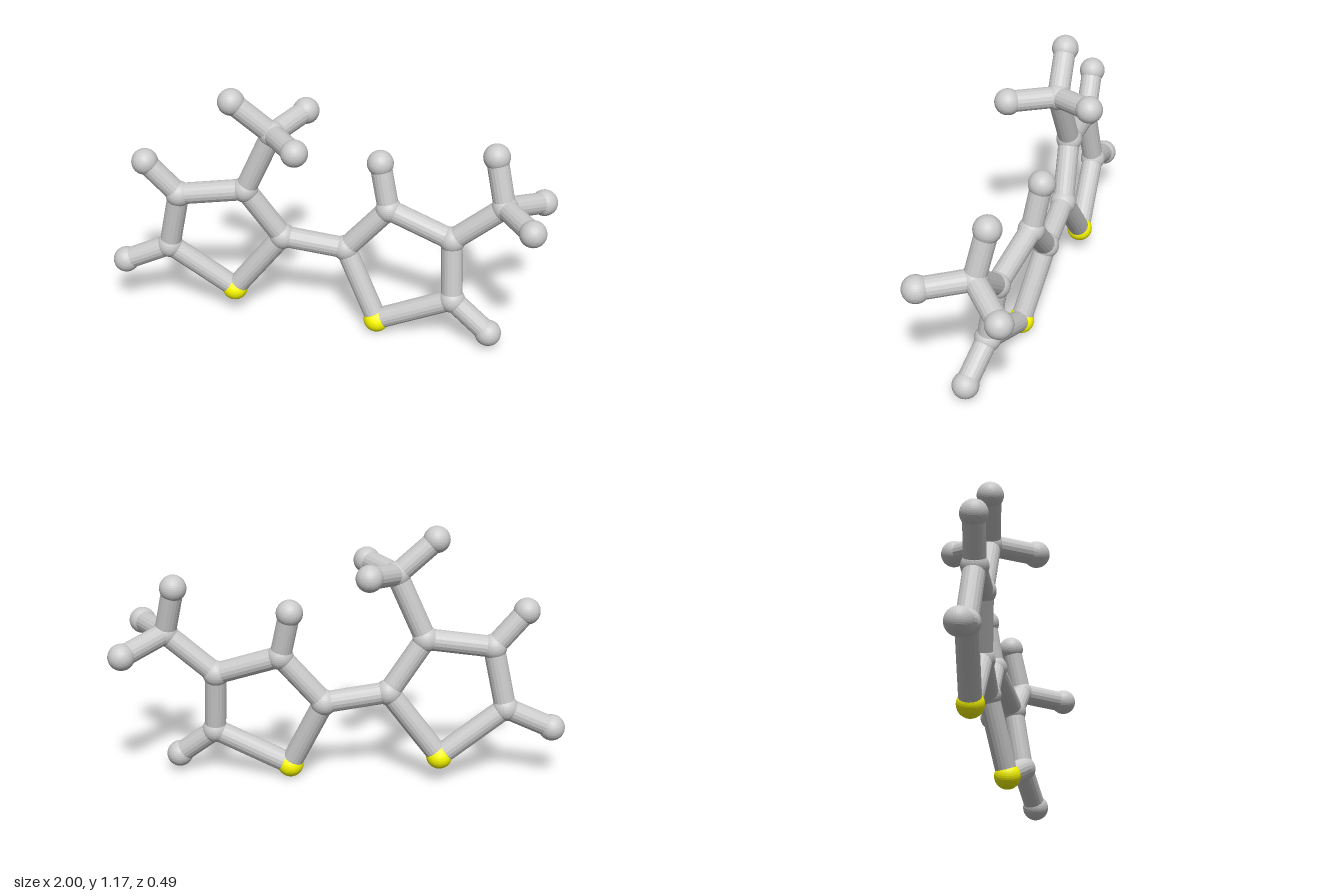
import * as THREE from 'three';

const BALL_RADIUS = 0.059;
const ROD_RADIUS = 0.048;

export function createModel() {
  const model = new THREE.Group();
  model.name = 'ballAndStickMolecule';

  const grey = new THREE.MeshStandardMaterial({ color: 0xcccccc, flatShading: true });
  const yellow = new THREE.MeshStandardMaterial({ color: 0xffff00, flatShading: true });
  const ballGeometry = new THREE.SphereGeometry(BALL_RADIUS, 32, 20);
  const rodGeometry = new THREE.CylinderGeometry(ROD_RADIUS, ROD_RADIUS, 1, 18);
  const up = new THREE.Vector3(0, 1, 0);

  const ball = (parent, name, position, material = grey) => {
    const mesh = new THREE.Mesh(ballGeometry, material);
    mesh.name = name;
    mesh.position.copy(position);
    parent.add(mesh);
  };

  const rod = (parent, name, a, b) => {
    const direction = b.clone().sub(a);
    const mesh = new THREE.Mesh(rodGeometry, grey);
    mesh.name = name;
    mesh.position.copy(a).lerp(b, 0.5);
    mesh.scale.y = direction.length();
    mesh.quaternion.setFromUnitVectors(up, direction.normalize());
    parent.add(mesh);
  };

  // Ring corners run: sulfur, linked carbon, then round to the last carbon.
  // Each branch starts at a ring corner; a methyl branch carries three more tips.
  const units = [
    {
      name: 'rightRing',
      ring: [[-0.44, 0.13, -0.045], [-0.21, 0.43, -0.04], [-0.37, 0.67, -0.01], [-0.67, 0.63, 0.01], [-0.73, 0.35, -0.01]],
      hydrogens: [[3, [-0.81, 0.79, 0.03]], [4, [-0.94, 0.255, 0]]],
      methyl: {
        corner: 2, center: [-0.24, 0.96, 0],
        tips: [[-0.41, 1.11, 0.028], [-0.125, 0.995, -0.183], [-0.107, 0.97, 0.185]],
      },
    },
    {
      name: 'leftRing',
      ring: [[0.23, 0.06, 0], [0.075, 0.385, -0.06], [0.265, 0.6, -0.065], [0.555, 0.5, -0.02], [0.57, 0.215, 0.02]],
      hydrogens: [[2, [0.22, 0.81, -0.095]], [4, [0.74, 0.08, 0.055]]],
      methyl: {
        corner: 3, center: [0.775, 0.685, -0.015],
        tips: [[0.725, 0.905, -0.057], [0.905, 0.68, 0.178], [0.94, 0.633, -0.187]],
      },
    },
  ];

  const vec = (p) => new THREE.Vector3(...p);

  for (const { name, ring, hydrogens, methyl } of units) {
    const group = new THREE.Group();
    group.name = name;
    model.add(group);

    // Five-sided ring
    const corners = ring.map(vec);
    corners.forEach((corner, i) => {
      ball(group, i ? 'ringCarbon' : 'sulfur', corner, i ? grey : yellow);
      rod(group, 'ringBond', corner, corners[(i + 1) % corners.length]);
    });

    // Single hydrogens
    for (const [corner, tip] of hydrogens) {
      rod(group, 'hydrogenBond', corners[corner], vec(tip));
      ball(group, 'hydrogen', vec(tip));
    }

    // Methyl branch
    const branch = new THREE.Group();
    branch.name = 'methylBranch';
    group.add(branch);
    const center = vec(methyl.center);
    ball(branch, 'methylCarbon', center);
    rod(branch, 'methylBond', corners[methyl.corner], center);
    for (const tip of methyl.tips) {
      rod(branch, 'hydrogenBond', center, vec(tip));
      ball(branch, 'hydrogen', vec(tip));
    }
  }

  // Bond joining the two rings
  rod(model, 'bridgeBond', vec(units[0].ring[1]), vec(units[1].ring[1]));

  return model;
}
